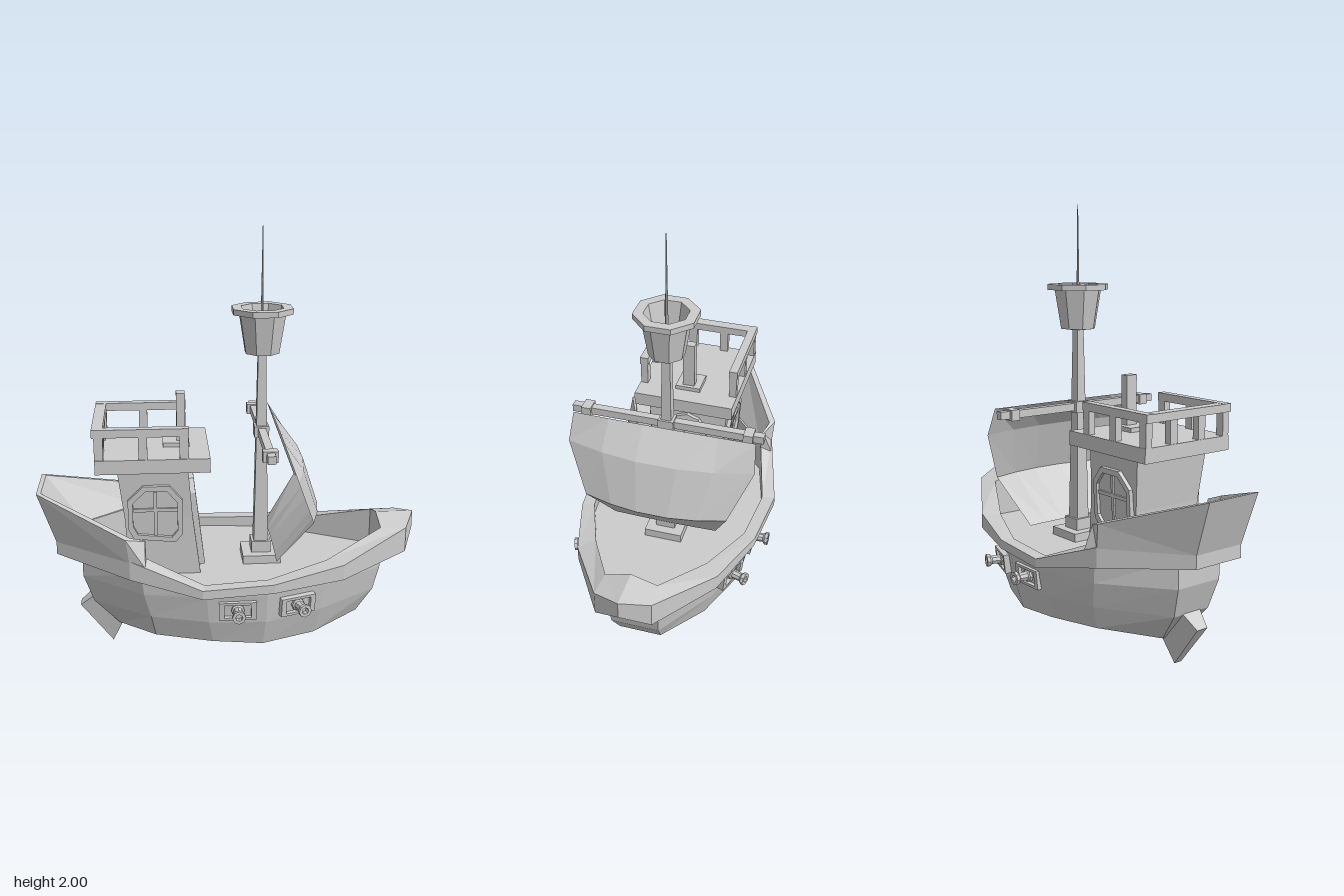
import * as THREE from 'three';

const mat = new THREE.MeshStandardMaterial({ color: 0xcccccc, flatShading: true });
const thin = new THREE.MeshStandardMaterial({ color: 0xcccccc, flatShading: true, side: THREE.DoubleSide });

function add(parent, name, geo, x = 0, y = 0, z = 0, material = mat) {
  const m = new THREE.Mesh(geo, material);
  m.name = name;
  m.position.set(x, y, z);
  parent.add(m);
  return m;
}

// box given by its min and max along each axis
function box(parent, name, x0, x1, y0, y1, z0, z1) {
  return add(parent, name, new THREE.BoxGeometry(x1 - x0, y1 - y0, z1 - z0),
    (x0 + x1) / 2, (y0 + y1) / 2, (z0 + z1) / 2);
}

// skin over a list of rings of [x, y, z] points
function loft(rings, { closeRing = true, closePath = false, caps = false } = {}) {
  const n = rings[0].length, pos = rings.flat(2), idx = [];
  const R = rings.length;
  for (let i = 0; i < (closePath ? R : R - 1); i++) {
    for (let j = 0; j < (closeRing ? n : n - 1); j++) {
      const k = (j + 1) % n, a = i * n, b = ((i + 1) % R) * n;
      idx.push(a + j, a + k, b + k, a + j, b + k, b + j);
    }
  }
  if (caps) {
    for (let j = 1; j < n - 1; j++) {
      const e = (R - 1) * n;
      idx.push(0, j + 1, j, e, e + j, e + j + 1);
    }
  }
  const g = new THREE.BufferGeometry();
  g.setAttribute('position', new THREE.Float32BufferAttribute(pos, 3));
  g.setIndex(idx);
  const out = g.toNonIndexed();
  out.computeVertexNormals();
  return out;
}

const mirror = (p) => [p[0], p[1], -p[2]];

// raised frame with a recessed panel, outline in xy
function framed(name, pts, inner, depth) {
  const g = new THREE.Group();
  g.name = name;
  const v = pts.map(([x, y]) => new THREE.Vector2(x, y));
  const small = v.map((p) => p.clone().multiplyScalar(inner));
  const shape = new THREE.Shape(v);
  shape.holes.push(new THREE.Path(small));
  add(g, name + 'Frame', new THREE.ExtrudeGeometry(shape, { depth, bevelEnabled: false }));
  add(g, name + 'Panel', new THREE.ExtrudeGeometry(new THREE.Shape(small), { depth: depth * 0.4, bevelEnabled: false }));
  return g;
}

function buildHull(boat) {
  // per level: [x, y, half width] from stern to bow
  const levels = [
    [[-.535, .12, .06], [-.36, .17, .29], [-.1, .155, .345], [.13, .135, .345], [.38, .135, .25], [.61, .165, .1]],
    [[-.65, .26, .1], [-.38, .28, .325], [-.12, .27, .38], [.14, .26, .38], [.405, .27, .285], [.685, .28, .112]],
    [[-.695, .4, .12], [-.41, .4, .345], [-.13, .4, .402], [.145, .4, .398], [.425, .4, .3], [.713, .4, .12]],
    [[-.695, .53, .12], [-.42, .5, .35], [-.13, .44, .407], [.15, .44, .4], [.43, .45, .305], [.713, .5, .122]],
  ];
  const rings = levels.map((l) => [...l, ...l.map(mirror).reverse()]);
  add(boat, 'hull', loft(rings), 0, 0, 0, thin);
  const r = rings[0], quads = [];
  for (let i = 0; i < 6; i++) quads.push([r[11 - i], r[i]]);
  add(boat, 'hullBottom', loft(quads, { closeRing: false }), 0, 0, 0, thin);

  // gunwale: [x, z, low, high, inner x, inner z]
  const st = [
    [-.81, .13, .52, .59, -.69, .08], [-.47, .378, .49, .58, -.41, .332], [-.15, .466, .425, .467, -.14, .405],
    [.17, .437, .43, .472, .15, .38], [.5, .335, .437, .51, .43, .27], [.83, .13, .48, .6, .71, .12],
    [.89, 0, .55, .635, .71, 0],
  ];
  const deckY = .42;
  const sec = ([x, z, lo, hi, ix, iz]) => [[x, hi, z], [x, lo, z], [ix, lo, iz], [ix, deckY, iz], [ix, hi, iz]];
  const half = st.map(sec);
  const other = half.slice(0, -1).reverse().map((s) => s.map(mirror));
  add(boat, 'gunwale', loft([...half, ...other], { closePath: true }), 0, 0, 0, thin);
  const deck = st.map((s) => [[s[4], deckY, -s[5]], [s[4], deckY, s[5]]]);
  add(boat, 'deck', loft(deck.map((d) => [d[1], d[0]]), { closeRing: false }), 0, 0, 0, thin);

  // high bulwark around the stern
  const bw = [
    [[-.89, .82, .14], [-.81, .58, .13], [-.69, .58, .08], [-.87, .818, .125]],
    [[-.485, .685, .385], [-.47, .57, .377], [-.41, .56, .332], [-.465, .685, .36]],
    [[-.4, .66, .345], [-.4, .55, .392], [-.395, .55, .335], [-.398, .66, .335]],
  ];
  const path = [...bw.map((s) => s.map(mirror)).reverse(), ...bw];
  add(boat, 'sternBulwark', loft(path, { caps: true }), 0, 0, 0, thin);

  // rudder, thinner towards its foot
  const rud = (s) => [[-.57, .005, .02 * s], [-.5, .16, .06 * s], [-.62, .29, .06 * s], [-.72, .205, .03 * s]];
  add(boat, 'rudder', loft([rud(-1), rud(1)], { caps: true }), 0, 0, 0, thin);
}

function buildCannon(boat, x, z, turn, side) {
  const g = new THREE.Group();
  g.name = 'cannonPort';
  const port = framed('port', [[-.085, -.045], [.085, -.045], [.085, .045], [-.085, .045]], .72, .03);
  port.rotation.x = .1;
  port.position.z = -.012;
  g.add(port);
  const profile = [[0, 0], [.03, 0], [.03, .015], [.022, .02], [.02, .06], [.031, .07], [.031, .085], [.016, .085], [.016, .06], [0, .06]];
  const barrel = add(g, 'cannon', new THREE.LatheGeometry(profile.map((p) => new THREE.Vector2(...p)), 8));
  barrel.rotation.x = Math.PI / 2;
  g.position.set(x, .335, side * z);
  g.rotation.y = side > 0 ? turn : Math.PI - turn;
  boat.add(g);
}

function buildCabin(boat) {
  const cabin = new THREE.Group();
  cabin.name = 'cabin';
  boat.add(cabin);
  const ring = ([y, x0, x1, w]) => [[x1, y, w], [x1, y, -w], [x0, y, -w], [x0, y, w]];
  const walls = [[.41, -.475, -.145, .17], [.7, -.49, -.18, .18], [.95, -.52, -.2, .2]];
  add(cabin, 'cabinWalls', loft(walls.map(ring), { caps: true }));
  box(cabin, 'roof', -.615, -.1, .94, 1.005, -.24, .24);

  // roof railing on three sides
  for (const s of [-1, 1]) {
    const z0 = s > 0 ? .2 : -.24, z1 = z0 + .04;
    box(cabin, 'sideRail', -.625, -.195, 1.11, 1.147, z0, z1);
    for (const x of [-.595, -.4, -.217]) box(cabin, 'railPost', x - .02, x + .02, 1, 1.12, z0 + .003, z1 - .003);
    box(cabin, 'backPost', -.612, -.578, 1, 1.12, s * .08 - .02, s * .08 + .02);
  }
  box(cabin, 'backRail', -.625, -.575, 1.11, 1.146, -.22, .22);

  box(cabin, 'chimneyBase', -.31, -.188, 1, 1.025, -.06, .06);
  box(cabin, 'chimney', -.245, -.205, 1.02, 1.25, -.028, .028);

  // windows with crossed bars
  const outline = [[-.1, -.12], [.09, -.14], [.122, -.1], [.122, .07], [.065, .14], [-.055, .14], [-.125, .07], [-.125, -.07]];
  for (const s of [-1, 1]) {
    const w = framed('window', s > 0 ? outline : outline.map(([x, y]) => [-x, y]).reverse(), .82, .025);
    box(w, 'windowBar', -.008, .008, -.11, .11, 0, .018);
    box(w, 'windowBar', -.1, .1, .012, .028, 0, .018);
    w.position.set(-.35, .73, s * .178);
    w.rotation.order = 'YXZ';
    w.rotation.set(.06, s > 0 ? 0 : Math.PI, 0);
    cabin.add(w);
  }

  // arched door on the forward wall
  const d = framed('door', [[-.1, -.23], [.1, -.23], [.1, .13], [.06, .19], [0, .21], [-.06, .19], [-.1, .13]], .82, .03);
  for (const z of [-.03, .03]) box(d, 'doorPlank', z - .018, z + .018, -.18, .14, 0, .018);
  box(d, 'doorKnob', .05, .065, -.03, -.01, 0, .03);
  const hinge = new THREE.Group();
  hinge.name = 'doorMount';
  d.rotation.y = Math.PI / 2;
  hinge.add(d);
  hinge.position.set(-.178, .66, 0);
  hinge.rotation.z = .115;
  cabin.add(hinge);
}

function buildRig(boat) {
  const rig = new THREE.Group();
  rig.name = 'rig';
  rig.position.x = .15;
  boat.add(rig);
  box(rig, 'mastSlab', -.09, .09, .41, .46, -.09, .09);
  box(rig, 'mastFoot', -.046, .046, .45, .515, -.046, .046);
  const q = Math.SQRT2;
  const mast = new THREE.CylinderGeometry(.018 * q, .034 * q, .94, 4).rotateY(Math.PI / 4);
  add(rig, 'mast', mast, 0, .97, 0);

  // yard with collar and end blocks
  box(rig, 'yard', -.018, .018, 1.042, 1.078, -.45, .45);
  box(rig, 'yardCollar', -.034, .034, 1.032, 1.086, -.036, .036);
  for (const s of [-1, 1]) box(rig, 'yardBlock', -.034, .034, 1.034, 1.084, s * .38 - .022, s * .38 + .022);

  // hollow eight-sided lookout basket
  const prof = [[0, 1.42], [.082, 1.43], [.112, 1.612], [.146, 1.612], [.146, 1.638], [.1, 1.638], [.07, 1.48], [0, 1.48]];
  const nest = new THREE.LatheGeometry(prof.map((p) => new THREE.Vector2(...p)), 8).rotateY(Math.PI / 8);
  add(rig, 'lookout', nest, 0, 0, 0, thin);
  add(rig, 'spike', new THREE.CylinderGeometry(.002, .009, .54, 6), 0, 1.73, 0);

  // bellied sail: [y, edge x, middle x, half width]
  const rows = [[.5, .2, .205, .25], [.72, .355, .413, .335], [.95, .27, .338, .437], [1.08, .222, .226, .425]];
  const cols = [1, .6, .22, -.22, -.6, -1];
  const rings = rows.map(([y, e, m, w]) => cols.map((t) => [m + (e - m) * t * t, y, t * w]));
  add(boat, 'sail', loft(rings, { closeRing: false }), 0, 0, 0, thin);
}

export function createModel() {
  const boat = new THREE.Group();
  boat.name = 'ship';
  buildHull(boat);
  for (const s of [-1, 1]) {
    buildCannon(boat, .01, .39, 0, s);
    buildCannon(boat, .285, .35, .33, s);
  }
  buildCabin(boat);
  buildRig(boat);
  return boat;
}
